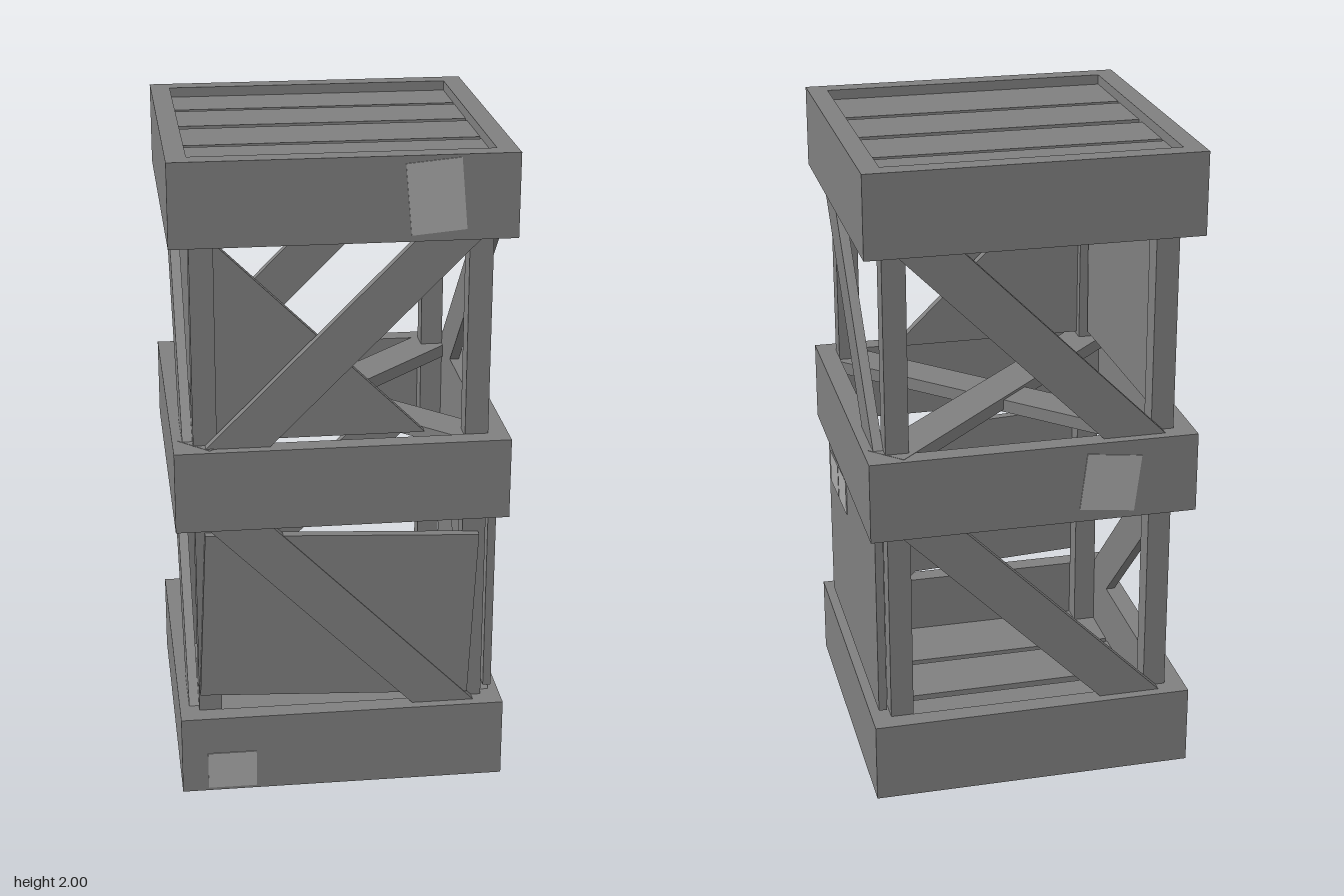
import * as THREE from 'three';

export function createModel() {
  const model = new THREE.Group();
  model.name = 'crateTower';
  const grey = new THREE.MeshStandardMaterial({ color: 0x7f7f7f });
  grey.name = 'crate grey';
  const pale = new THREE.MeshStandardMaterial({ color: 0xabababab & 0xffffff });
  pale.name = 'label pale grey';

  const add = (parent, name, geometry, material, x, y, z, rz = 0) => {
    const mesh = new THREE.Mesh(geometry, material);
    mesh.name = name;
    mesh.position.set(x, y, z);
    mesh.rotation.z = rz;
    parent.add(mesh);
    return mesh;
  };
  const box = (parent, name, w, h, d, x, y, z, rz = 0) =>
    add(parent, name, new THREE.BoxGeometry(w, h, d), grey, x, y, z, rz);
  const label = (parent, w, h, x, y, z, rz = 0) =>
    add(parent, 'label', new THREE.BoxGeometry(w, h, 0.004), pale, x, y, z, rz);

  // Square collars at bottom, middle and top
  const square = (path, r) => path.moveTo(-r, -r).lineTo(r, -r).lineTo(r, r).lineTo(-r, r).closePath();
  const collarShape = square(new THREE.Shape(), 0.5);
  collarShape.holes.push(square(new THREE.Path(), 0.44));
  const collarGeometry = new THREE.ExtrudeGeometry(collarShape, { depth: 0.25, bevelEnabled: false });
  collarGeometry.rotateX(-Math.PI / 2);
  for (const y of [0, 0.88, 1.75]) add(model, 'collar', collarGeometry, grey, 0, y, 0);

  // Corner posts
  for (const x of [-0.405, 0.405])
    for (const z of [-0.405, 0.405]) box(model, 'cornerPost', 0.07, 1.92, 0.07, x, 1, z);

  // Slats of the lid and the floor, slightly uneven
  const slats = [[-0.44, -0.26, 0], [-0.24, -0.045, 0], [-0.015, 0.19, 0.006], [0.213, 0.438, 0]];
  for (const y of [0.045, 1.955])
    for (const [z0, z1, turn] of slats)
      box(model, 'slat', 0.88, 0.03, z1 - z0, 0, y, (z0 + z1) / 2).rotation.y = turn;

  // Crossed planks inside the middle collar
  for (const side of [-1, 1])
    box(model, 'crossPlank', 1.24, 0.04, 0.127, 0, 1.107 + side * 0.004, 0).rotation.y = side * Math.PI / 4;

  // Four sides, each built facing outwards along its own +z
  const [front, right, back, left] = ['frontSide', 'rightSide', 'backSide', 'leftSide'].map((name, i) => {
    const side = new THREE.Group();
    side.name = name;
    side.rotation.y = i * Math.PI / 2;
    model.add(side);
    return side;
  });

  // Diagonal braces: -1 falls to the right, 1 rises to the right
  const brace = (side, y, way) => box(side, 'brace', 1.06, 0.135, 0.03, 0, y, 0.455, way * Math.PI / 4);
  const low = 0.565, high = 1.44;
  brace(front, low, -1);
  brace(front, high, 1);
  brace(right, low, 1);
  brace(right, high, -1);
  for (const side of [back, left]) {
    brace(side, low, -1);
    brace(side, high, -1);
  }

  // Loose panels
  box(front, 'panel', 0.83, 0.535, 0.03, -0.01, 0.563, 0.45, -0.047);
  box(right, 'panel', 0.85, 0.59, 0.025, 0.005, 0.565, 0.464);
  box(left, 'panel', 0.735, 0.565, 0.03, -0.005, 1.445, 0.41, -0.025);

  // Broken triangular panel
  const triangle = new THREE.Shape().moveTo(-0.37, 1.14).lineTo(0.25, 1.14).lineTo(-0.37, 1.745).closePath();
  add(front, 'brokenPanel', new THREE.ExtrudeGeometry(triangle, { depth: 0.03, bevelEnabled: false }),
    grey, 0, 0, 0.4);

  // Labels
  label(front, 0.16, 0.21, 0.26, 1.88, 0.501, 0.09);
  label(front, 0.15, 0.12, -0.345, 0.07, 0.501);
  label(right, 0.15, 0.11, -0.30, 0.75, 0.478, 0.05);
  label(right, 0.145, 0.115, -0.145, 0.76, 0.478, 0.05);
  label(back, 0.17, 0.18, 0.23, 1.0, 0.501, -0.12);
  label(left, 0.19, 0.15, 0.25, 1.57, 0.426, 0.1);
  label(model, 0.15, 0.12, 0.16, 0.029, 0.29).rotation.x = Math.PI / 2;

  return model;
}
